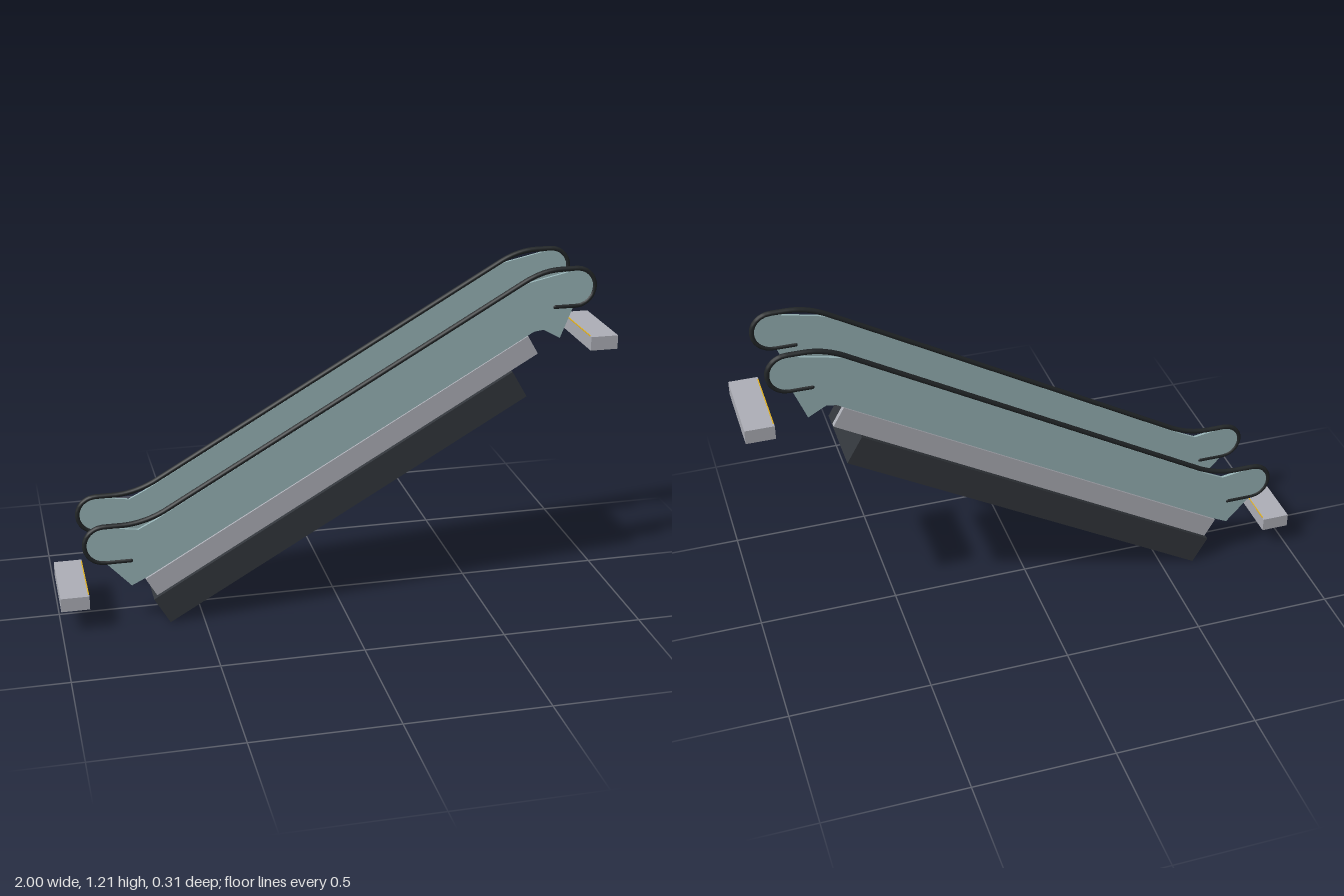
import * as THREE from 'three';

const mat = (color) => new THREE.MeshStandardMaterial({ color });
const SLOPE = Math.PI / 6;

function box(name, size, pos, material, tilt = 0) {
  const mesh = new THREE.Mesh(new THREE.BoxGeometry(...size), material);
  mesh.name = name;
  mesh.position.set(...pos);
  mesh.rotation.z = tilt;
  return mesh;
}

// Outline of one glass panel: sloped middle with rounded newel ends
function glassGeometry(thickness) {
  const s = new THREE.Shape();
  s.moveTo(-0.75, 0.16);
  s.lineTo(-0.695, 0.187);
  s.lineTo(0.69, 0.985);
  s.lineTo(0.725, 0.99);
  s.lineTo(0.787, 0.956);
  s.lineTo(0.83, 1.065);
  s.absarc(0.84, 1.137, 0.066, -Math.PI / 2, 1.45, false);
  s.lineTo(0.65, 1.16);
  s.lineTo(-0.66, 0.4);
  s.lineTo(-0.72, 0.37);
  s.lineTo(-0.84, 0.388);
  s.absarc(-0.84, 0.324, 0.066, Math.PI / 2, Math.PI * 1.5, false);
  s.closePath();
  return new THREE.ExtrudeGeometry(s, { depth: thickness, bevelEnabled: false, curveSegments: 16 })
    .translate(0, 0, -thickness / 2);
}

// Handrail centre line, including the returns around both newels
function railPath() {
  const v = (x, y) => new THREE.Vector3(x, y, 0);
  const arc = (cx, cy, from, to) => Array.from({ length: 13 }, (_, i) => {
    const a = THREE.MathUtils.lerp(from, to, i / 12);
    return v(cx + 0.067 * Math.cos(a), cy + 0.067 * Math.sin(a));
  });
  const bend = (a, b, c) => new THREE.QuadraticBezierCurve3(a, b, c).getPoints(8);
  const pts = [
    v(-0.75, 0.256),
    ...arc(-0.84, 0.323, -Math.PI / 2, -Math.PI * 1.5),
    ...bend(v(-0.79, 0.39), v(-0.71, 0.387), v(-0.63, 0.428)),
    ...bend(v(0.64, 1.16), v(0.71, 1.203), v(0.78, 1.204)),
    ...arc(0.84, 1.137, Math.PI / 2, -Math.PI / 2),
    v(0.765, 1.07),
  ];
  const path = new THREE.CurvePath();
  for (let i = 1; i < pts.length; i++) path.add(new THREE.LineCurve3(pts[i - 1], pts[i]));
  return path;
}

export function createModel() {
  const model = new THREE.Group();
  model.name = 'escalator';
  const dark = mat(0x32363b), metal = mat(0xadafb7), glass = mat(0x98b4b7);
  const rubber = mat(0x222628), yellow = mat(0xe0b020);

  // Sloped truss
  model.add(box('truss', [1.49, 0.11, 0.295], [-0.0025, 0.425, 0], dark, SLOPE));

  // Balustrades on both sides
  const glassGeo = glassGeometry(0.01);
  const railGeo = new THREE.TubeGeometry(railPath(), 240, 0.009, 10, false);
  for (const [side, sign] of [['front', 1], ['back', -1]]) {
    const group = new THREE.Group();
    group.name = `${side}Balustrade`;
    group.position.z = 0.135 * sign;
    const panel = new THREE.Mesh(glassGeo, glass);
    panel.name = 'glassPanel';
    const rail = new THREE.Mesh(railGeo, rubber);
    rail.name = 'handrail';
    group.add(panel, rail, box('skirt', [1.582, 0.077, 0.018], [0.0025, 0.543, 0], metal, SLOPE));
    // End caps of the handrail
    for (const [x, y] of [[-0.75, 0.256], [0.765, 1.07]]) {
      const cap = new THREE.Mesh(new THREE.SphereGeometry(0.009, 10, 8), rubber);
      cap.name = 'handrailEnd';
      cap.position.set(x, y, 0);
      group.add(cap);
    }
    model.add(group);
  }

  // Landing plates with a thin warning strip on the inner edge
  for (const [side, sign, y] of [['lower', -1, 0.115], ['upper', 1, 0.929]]) {
    model.add(box(`${side}Landing`, [0.1, 0.05, 0.306], [0.95 * sign, y, 0], metal));
    model.add(box(`${side}WarningStrip`, [0.004, 0.003, 0.28], [0.902 * sign, y + 0.0245, 0], yellow));
  }
  return model;
}
